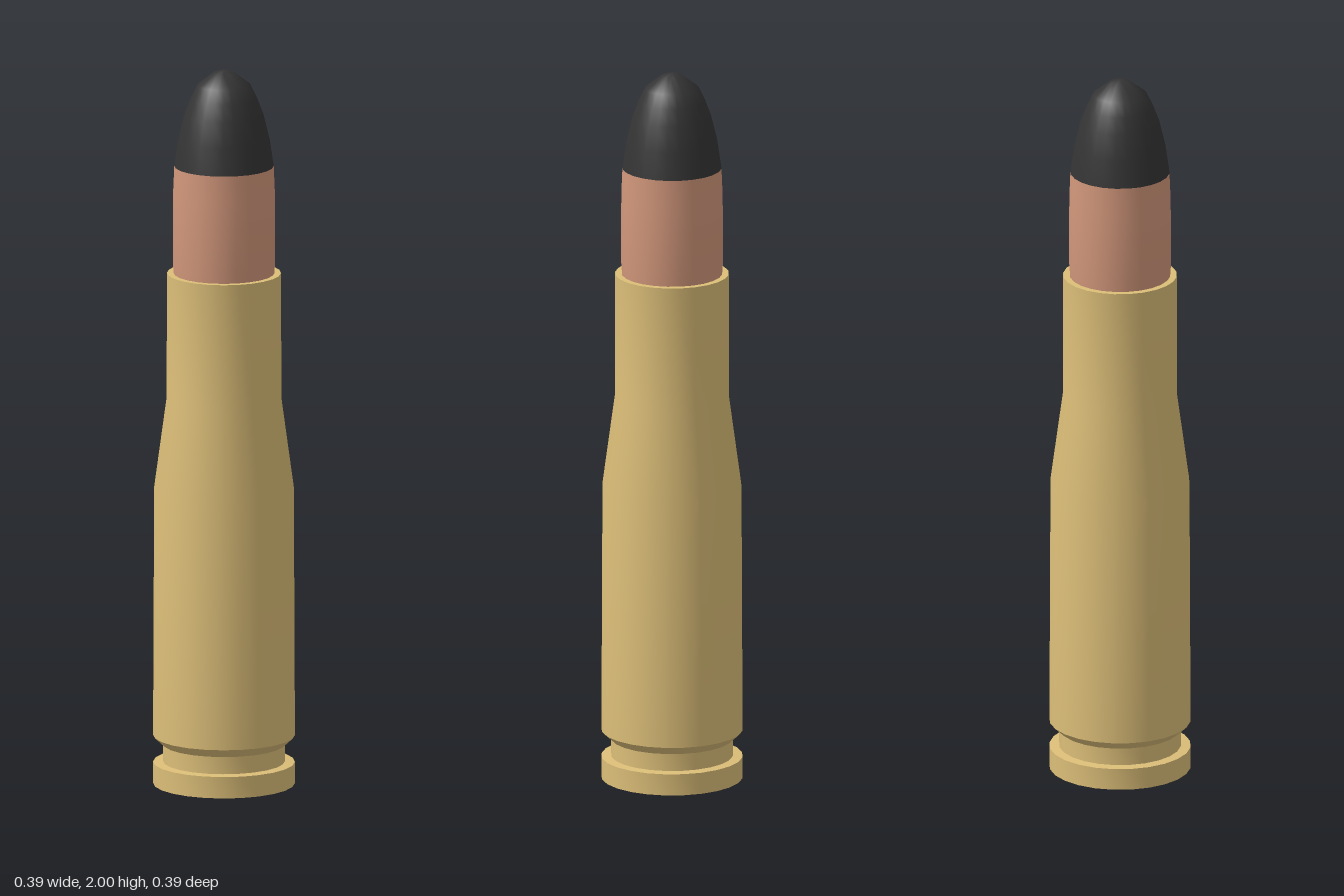
import * as THREE from 'three';
import { toCreasedNormals } from 'three/addons/utils/BufferGeometryUtils.js';

const SIDES = 24;

// Turned part from a bottom-to-top profile of [radius, height] pairs
function turned(name, profile, material) {
  const points = profile.map(([r, y]) => new THREE.Vector2(r, y));
  const geometry = toCreasedNormals(new THREE.LatheGeometry(points, SIDES), 0.6);
  const mesh = new THREE.Mesh(geometry, material);
  mesh.name = name;
  return mesh;
}

function makeMaterial(name, color) {
  const material = new THREE.MeshStandardMaterial({ color });
  material.name = name;
  return material;
}

export function createModel() {
  const brass = makeMaterial('brass', 0xdcbe78);
  const copper = makeMaterial('copper', 0xd2977b);
  const black = makeMaterial('black', 0x343434);

  const model = new THREE.Group();
  model.name = 'cartridge';

  model.add(
    // Rim with its flat base
    turned('rim', [[0, 0], [0.194, 0], [0.194, 0.06], [0.167, 0.062]], brass),
    // Extractor groove, body, shoulder, neck and mouth
    turned('case', [
      [0.167, 0.062], [0.167, 0.11], [0.194, 0.135], [0.191, 0.83],
      [0.157, 1.08], [0.156, 1.43], [0.138, 1.43],
    ], brass),
    // Exposed jacket of the projectile
    turned('jacket', [
      [0.137, 1.42], [0.1395, 1.455], [0.14, 1.58], [0.139, 1.66], [0.136, 1.73],
    ], copper),
    // Painted nose
    turned('tip', [
      [0.136, 1.73], [0.125, 1.805], [0.108, 1.875], [0.091, 1.92],
      [0.073, 1.957], [0.028, 1.992], [0, 2],
    ], black),
  );

  return model;
}
